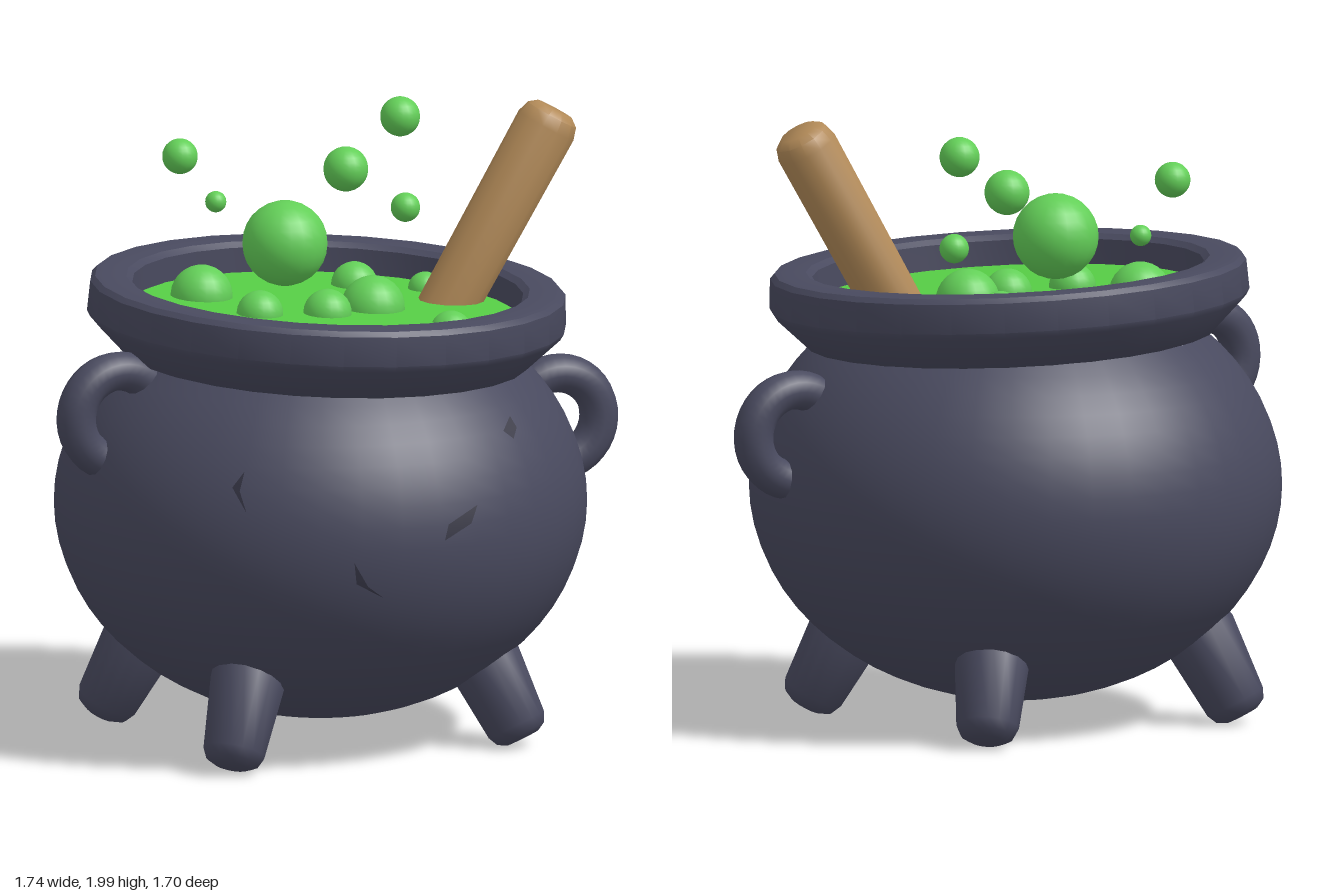
import * as THREE from 'three';
import { toCreasedNormals } from 'three/addons/utils/BufferGeometryUtils.js';

const material = (name, color, extra = {}) => {
  const m = new THREE.MeshStandardMaterial({ color, ...extra });
  m.name = name;
  return m;
};

export function createModel() {
  const iron = material('iron', 0x494a5f);
  const darkIron = material('darkIron', 0x333342, { side: THREE.DoubleSide });
  const brew = material('brew', 0x56cd45);
  const bubbleGreen = material('bubbleGreen', 0x63cf58);
  const wood = material('wood', 0xb28a58);

  const model = new THREE.Group();
  const add = (name, geometry, mat, parent = model) => {
    const mesh = new THREE.Mesh(geometry, mat);
    mesh.name = name;
    parent.add(mesh);
    return mesh;
  };
  const lathe = (points, segments, crease) => {
    const g = new THREE.LatheGeometry(points.map(([r, y]) => new THREE.Vector2(r, y)), segments);
    return crease ? toCreasedNormals(g, crease) : g;
  };
  // Point a mesh's y axis along a direction
  const aim = (mesh, dir) =>
    mesh.quaternion.setFromUnitVectors(new THREE.Vector3(0, 1, 0), dir.clone().normalize());

  // Pot belly: squashed sphere, open at the neck
  const centre = new THREE.Vector3(-0.02, 0.77, 0);
  const R = 0.85, H = 0.69;
  const profile = [];
  for (let i = 0; i <= 24; i++) {
    const a = -Math.PI / 2 + (i / 24) * (Math.PI / 2 + 0.78);
    profile.push([Math.max(0, R * Math.cos(a)), H * Math.sin(a)]);
  }
  add('belly', lathe(profile, 40), iron).position.copy(centre);

  // Slightly tilted rim with the brew inside it
  const top = new THREE.Group();
  top.name = 'rimAndBrew';
  top.position.set(0, 1.38, 0);
  top.rotation.z = -0.045;
  model.add(top);
  add('rim', lathe([
    [0.58, -0.16], [0.65, -0.14], [0.755, -0.035], [0.766, -0.015], [0.76, 0.08],
    [0.745, 0.096], [0.715, 0.1], [0.645, 0.096], [0.625, 0.08], [0.62, -0.08],
  ], 28, 0.6), iron, top);
  add('brewSurface', new THREE.CircleGeometry(0.63, 28).rotateX(-Math.PI / 2), brew, top);

  // Domes on the brew: x, z, radius, centre height
  for (const [x, z, r, y] of [
    [-0.42, -0.105, 0.1, 0], [0.13, -0.125, 0.103, 0], [0.005, 0.015, 0.078, 0],
    [-0.2, 0.1, 0.075, 0], [0.405, 0.015, 0.068, -0.03], [0.02, -0.45, 0.075, 0],
    [0.245, -0.47, 0.055, 0],
  ]) add('brewDome', new THREE.SphereGeometry(r, 20, 14), bubbleGreen, top).position.set(x, y, z);

  // Rising bubbles: x, y, z, radius
  for (const [x, y, z, r] of [
    [-0.15, 1.58, -0.1, 0.137], [-0.527, 1.8, -0.35, 0.057], [-0.427, 1.635, -0.45, 0.034],
    [0, 1.765, -0.4, 0.072], [0.148, 1.905, -0.577, 0.064], [0.165, 1.61, -0.577, 0.047],
  ]) add('bubble', new THREE.SphereGeometry(r, 20, 14), bubbleGreen).position.set(x, y, z);

  // Stirring stick leaning out at the back left
  const low = new THREE.Vector3(0.3, 1.27, -0.315);
  const high = new THREE.Vector3(0.665, 1.968, -0.462);
  const axis = high.clone().sub(low);
  const len = axis.length();
  const stick = add('stirringStick', lathe([
    [0, 0], [0.094, 0], [0.1, len - 0.06], [0.088, len - 0.02], [0.062, len], [0, len],
  ], 12, 0.7), wood);
  stick.position.copy(low);
  aim(stick, axis);

  // Four splayed legs: angle about the pot and foot distance
  const legGeometry = lathe([
    [0, 0], [0.055, 0.002], [0.085, 0.018], [0.1, 0.05], [0.122, 0.3], [0.112, 0.35], [0, 0.4],
  ], 16, 0.9);
  for (const [x, z] of [[-0.745, -0.09], [-0.2, 0.7], [0.65, 0.105], [0.06, -0.67]]) {
    const leg = add('leg', legGeometry, iron);
    leg.position.set(x, 0.035, z);
    const out = new THREE.Vector3(x - centre.x, 0, z).normalize();
    aim(leg, new THREE.Vector3(-out.x * 0.53, 1, -out.z * 0.53));
  }

  // Ring handles: direction, distance out, height
  const start = -1.75;
  const ring = new THREE.TorusGeometry(0.145, 0.063, 12, 24, 4.1).rotateZ(start);
  for (const [dx, dz, out, y] of [[-0.81, 0.585, 0.73, 1.11], [0.875, -0.485, 0.8, 0.98]]) {
    const handle = add('handle', ring, iron);
    handle.position.set(centre.x + dx * out, y, dz * out);
    handle.rotation.y = Math.atan2(-dz, dx);
  }

  // Thin chips lying on the front of the belly: centre, then outline offsets
  for (const [cx, cy, outline] of [
    [-0.155, 0.955, [[0.025, -0.065], [0.0, 0.0], [0.012, 0.06], [-0.025, 0.01]]],
    [0.525, 0.84, [[-0.04, -0.05], [0.035, -0.005], [0.05, 0.05], [-0.03, 0.0]]],
    [0.245, 0.675, [[0.055, -0.06], [0.01, -0.02], [-0.03, 0.06], [-0.025, -0.01]]],
    [0.645, 1.09, [[0.012, -0.028], [0.015, 0.0], [-0.008, 0.035], [-0.018, 0.0]]],
  ]) {
    const pts = outline.flatMap(([ox, oy]) => {
      const x = cx + ox - centre.x, y = cy + oy - centre.y;
      const z = Math.sqrt(R * R * (1 - (y / H) ** 2) - x * x);
      return [x * 1.004, y * 1.004, z * 1.004];
    });
    const g = new THREE.BufferGeometry();
    g.setAttribute('position', new THREE.Float32BufferAttribute(pts, 3));
    g.setIndex([0, 1, 3, 1, 2, 3]);
    g.computeVertexNormals();
    add('chip', g, darkIron).position.copy(centre);
  }
  return model;
}
